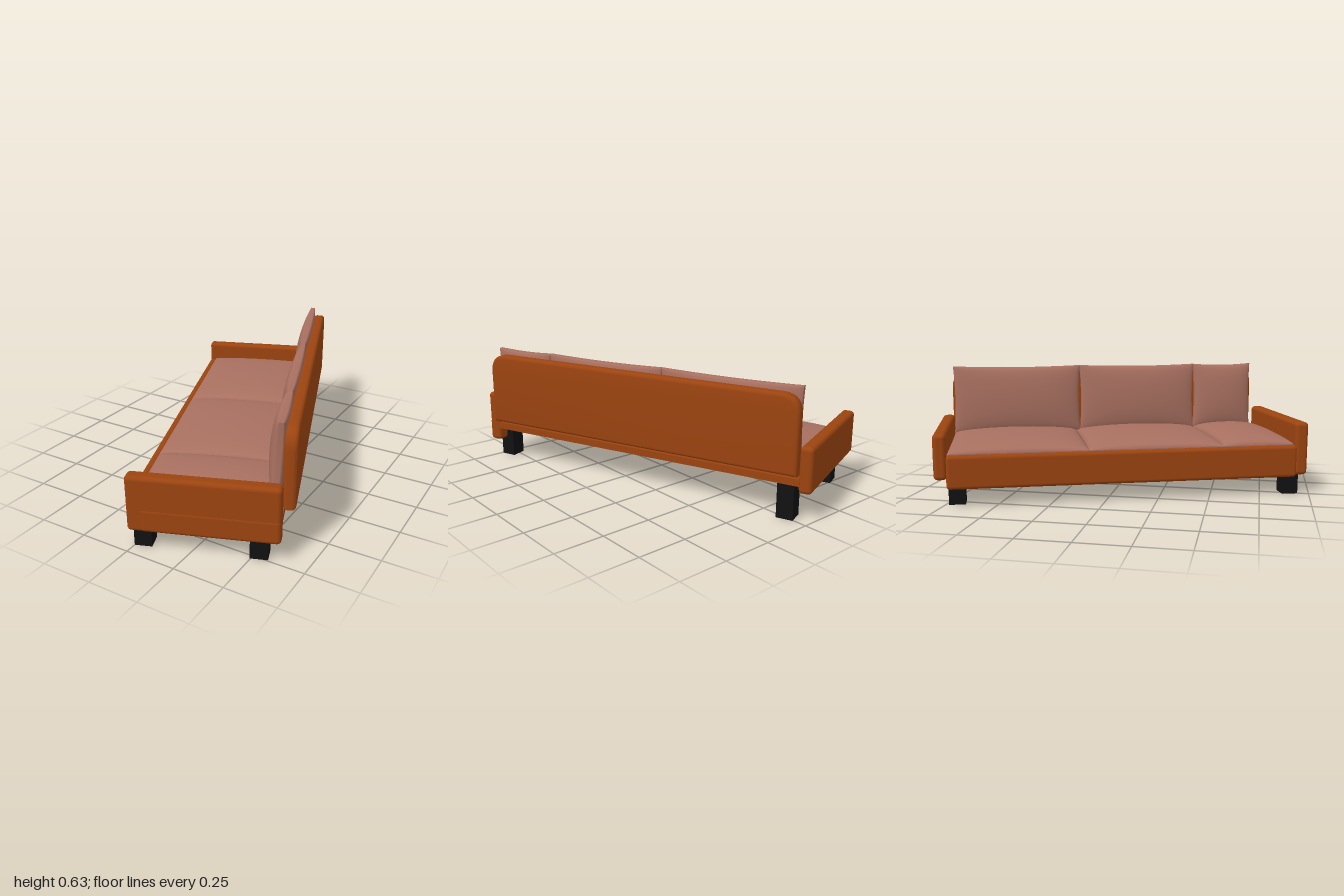
import * as THREE from 'three';
import { toCreasedNormals } from 'three/addons/utils/BufferGeometryUtils.js';
import { RoundedBoxGeometry } from 'three/addons/geometries/RoundedBoxGeometry.js';

const leather = new THREE.MeshStandardMaterial({ color: 0x9c4410 });
const fabric = new THREE.MeshStandardMaterial({ color: 0xa87060 });
const black = new THREE.MeshStandardMaterial({ color: 0x111111 });

// Local frame: x = depth (towards the backrest), z = length of the sofa.
function add(parent, name, geometry, material) {
  const mesh = new THREE.Mesh(geometry, material);
  mesh.name = name;
  parent.add(mesh);
  return mesh;
}

// Rounded box given by its limits on each axis
function block(parent, name, [x0, x1], [y0, y1], [z0, z1], radius) {
  const geo = new RoundedBoxGeometry(x1 - x0, y1 - y0, z1 - z0, 4, radius);
  geo.translate((x0 + x1) / 2, (y0 + y1) / 2, (z0 + z1) / 2);
  return add(parent, name, geo, leather);
}

// Stuffed pillow lying flat: thin seam, domed faces, sides drawn in between the corners
function pillow(width, length, up, down, seam, pinch) {
  const geo = new THREE.BoxGeometry(2, 2, 2, 24, 1, 24);
  const p = geo.attributes.position;
  for (let i = 0; i < p.count; i++) {
    const a = Math.sin(p.getX(i) * Math.PI / 2);
    const b = Math.sin(p.getZ(i) * Math.PI / 2);
    const dome = Math.pow(Math.max(0, (1 - a * a) * (1 - b * b)), 0.4);
    const y = p.getY(i) > 0 ? seam + up * dome : -seam - down * dome;
    p.setXYZ(i,
      a * (width / 2 - pinch * (1 - b * b)), y,
      b * (length / 2 - pinch * (1 - a * a)));
  }
  geo.computeVertexNormals();
  return geo;
}

// Upright panel with rounded top corners
function backrestGeometry(z0, z1, y0, y1, xBack, thickness) {
  const bevel = 0.018, r = 0.075;
  const [a, b, c, d] = [z0 + bevel, z1 - bevel, y0 + bevel, y1 - bevel];
  const s = new THREE.Shape();
  s.moveTo(a, c);
  s.lineTo(b, c);
  s.lineTo(b, d - r);
  s.quadraticCurveTo(b, d, b - r, d);
  s.lineTo(a + r, d);
  s.quadraticCurveTo(a, d, a, d - r);
  s.closePath();
  const geo = new THREE.ExtrudeGeometry(s, {
    depth: thickness - 2 * bevel, bevelEnabled: true, bevelSize: bevel,
    bevelThickness: bevel, bevelSegments: 4, curveSegments: 10,
  });
  geo.rotateY(-Math.PI / 2);
  geo.translate(xBack - bevel, 0, 0);
  return toCreasedNormals(geo, 0.6);
}

// Flat seat frame with one opening below each cushion
function seatFrameGeometry(openings) {
  const s = new THREE.Shape();
  const rect = (path, x0, x1, z0, z1) => {
    path.moveTo(x0, -z0);
    path.lineTo(x1, -z0);
    path.lineTo(x1, -z1);
    path.lineTo(x0, -z1);
    path.closePath();
    return path;
  };
  rect(s, -0.33, 0.33, -0.89, 0.88);
  for (const [z0, z1] of openings) s.holes.push(rect(new THREE.Path(), -0.27, 0.26, z0, z1));
  const geo = new THREE.ExtrudeGeometry(s, { depth: 0.035, bevelEnabled: false });
  geo.rotateX(-Math.PI / 2);
  geo.translate(0, 0.17, 0);
  return geo;
}

export function createModel() {
  const model = new THREE.Group();
  model.name = 'sofa';
  const body = new THREE.Group();
  body.name = 'sofaBody';
  body.rotation.y = THREE.MathUtils.degToRad(20.5);
  model.add(body);

  // Arms, rails and frame
  block(body, 'nearArm', [-0.348, 0.333], [0.1, 0.373], [0.858, 0.927], 0.02);
  block(body, 'nearEndRail', [-0.29, 0.333], [0.1, 0.222], [0.86, 0.929], 0.02);
  block(body, 'farArm', [-0.35, 0.335], [0.138, 0.361], [-0.948, -0.885], 0.02);
  block(body, 'frontRail', [-0.35, -0.308], [0.09, 0.255], [-0.89, 0.87], 0.018);
  add(body, 'seatFrame', seatFrameGeometry([[-0.82, -0.235], [-0.17, 0.455], [0.52, 0.8]]), leather);

  // Backrest
  add(body, 'backrest', backrestGeometry(-0.892, 0.846, 0.23, 0.605, 0.385, 0.06), leather);

  // Seat cushions
  const seats = [[-0.885, -0.2], [-0.2, 0.487], [0.487, 0.86]];
  for (const [z0, z1] of seats) {
    const c = add(body, 'seatCushion', pillow(0.64, z1 - z0, 0.055, 0.05, 0.012, 0.004), fabric);
    c.position.set(0.005, 0.245, (z0 + z1) / 2);
  }

  // Back cushions, standing with a slight lean
  const backs = [[-0.885, -0.18], [-0.18, 0.487], [0.487, 0.83]];
  for (const [z0, z1] of backs) {
    const c = add(body, 'backCushion', pillow(0.37, z1 - z0, 0.045, 0.025, 0.01, 0.008), fabric);
    c.position.set(0.303, 0.447, (z0 + z1) / 2);
    c.rotation.z = Math.PI / 2 - 0.05;
  }

  // Legs
  const legs = [[-0.237, -0.845], [0.289, -0.828], [-0.29, 0.843], [0.235, 0.857]];
  for (const [x, z] of legs) {
    const leg = add(body, 'leg', new THREE.BoxGeometry(0.081, 0.172, 0.081), black);
    leg.position.set(x, 0.086, z);
  }
  return model;
}
